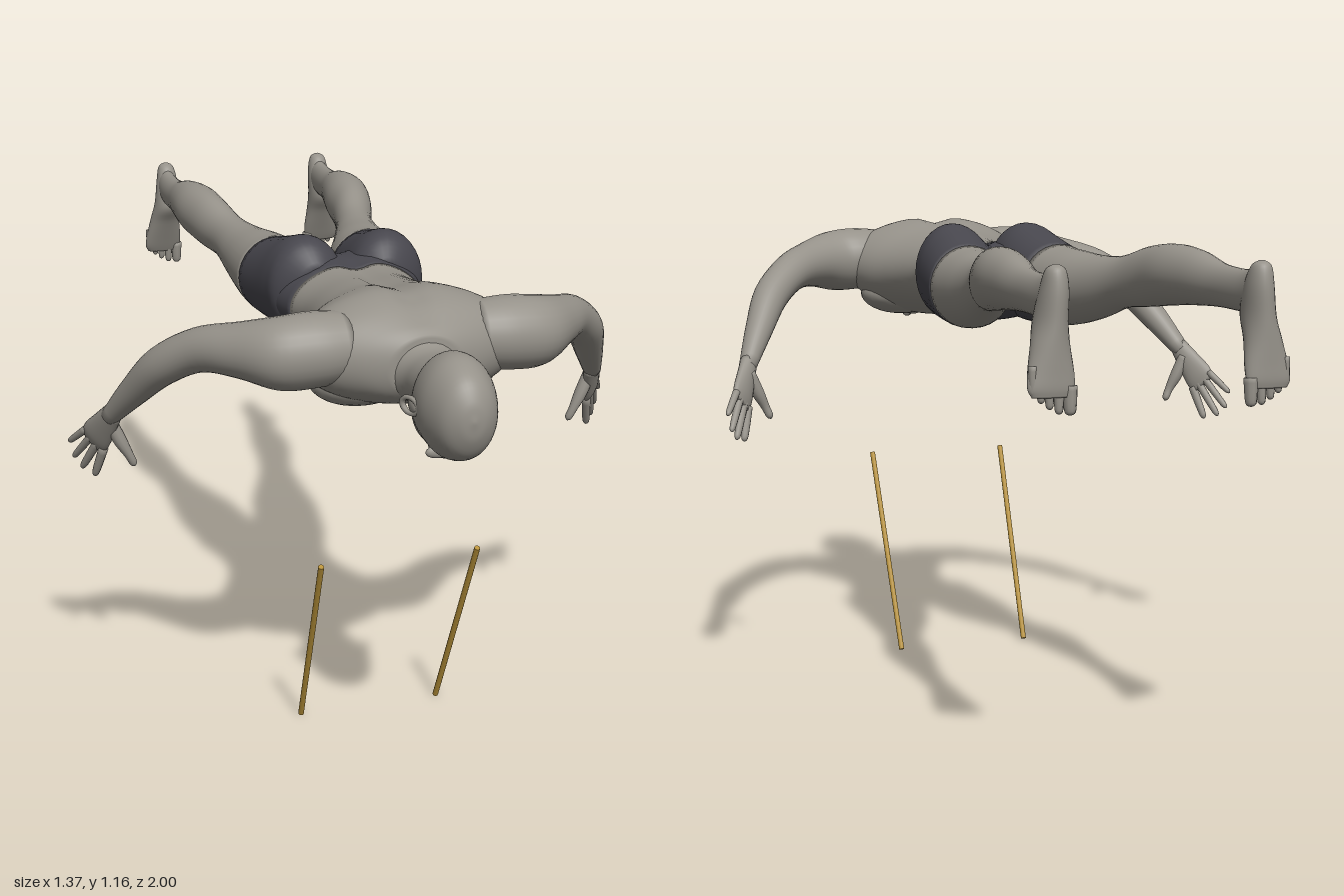
import * as THREE from 'three';

const V = (x, y, z) => new THREE.Vector3(x, y, z);
const mat = (name, color) => {
  const m = new THREE.MeshStandardMaterial({ color });
  m.name = name;
  return m;
};

export function createModel() {
  const group = new THREE.Group();
  const skin = mat('skin', 0x96928a);
  const cloth = mat('shorts', 0x48474e);
  const wood = mat('rod', 0xb8923a);

  const add = (name, geo, material, parent = group) => {
    const m = new THREE.Mesh(geo, material);
    m.name = name;
    parent.add(m);
    return m;
  };

  // Smooth closed skin through sections {p, a, b}: centre and two half axes.
  // Only the sections from..to are built, so one form can carry two colours.
  function loft(secs, { from = 0, to = secs.length - 1, sides = 28, steps = 5, rule } = {}) {
    const curve = (k) => new THREE.CatmullRomCurve3(secs.map((s) => s[k]), false, 'catmullrom', 0.5);
    const P = curve('p'), A = curve('a'), B = curve('b');
    const n = (to - from) * steps, pos = [], idx = [];
    for (let i = -1; i <= n + 1; i++) {
      const u = (from + Math.min(Math.max(i, 0), n) / steps) / (secs.length - 1);
      const p = P.getPoint(u), a = A.getPoint(u), b = B.getPoint(u);
      const k = i < 0 || i > n ? 0 : 1;
      for (let j = 0; j < sides; j++) {
        const t = (j / sides) * Math.PI * 2;
        const q = p.clone().addScaledVector(a, k * Math.cos(t)).addScaledVector(b, k * Math.sin(t));
        if (rule && k) rule(q);
        pos.push(q.x, q.y, q.z);
      }
    }
    const mid = secs[secs.length >> 1];
    const dir = secs[secs.length - 1].p.clone().sub(secs[0].p);
    const flip = mid.a.clone().cross(mid.b).dot(dir) < 0;
    for (let i = 0; i < n + 2; i++) {
      for (let j = 0; j < sides; j++) {
        const k = (j + 1) % sides;
        const a = i * sides + j, b = i * sides + k, c = b + sides, d = a + sides;
        if (flip) idx.push(a, c, b, a, d, c);
        else idx.push(a, b, c, a, c, d);
      }
    }
    const g = new THREE.BufferGeometry();
    g.setAttribute('position', new THREE.Float32BufferAttribute(pos, 3));
    g.setIndex(idx);
    g.computeVertexNormals();
    return g;
  }

  // Sections across z from rows [z, centre x, half width, top, bottom]
  const alongZ = (rows, s = 1) => rows.map(([z, x, w, top, bot]) => ({
    p: V(s * x, (top + bot) / 2, z), a: V(w, 0, 0), b: V(0, (top - bot) / 2, 0),
  }));

  // Round limb through points [x, y, z, radius]
  function limb(pts, s = 1, opts = {}) {
    const c = pts.map(([x, y, z]) => V(s * x, y, z));
    return loft(c.map((p, i) => {
      const t = c[Math.min(i + 1, c.length - 1)].clone().sub(c[Math.max(i - 1, 0)]).normalize();
      const a = V(0.31, 0.2, 0.93 * s).cross(t).normalize();
      const b = t.clone().cross(a);
      return { p, a: a.multiplyScalar(pts[i][3]), b: b.multiplyScalar(pts[i][3]) };
    }), opts);
  }

  // Finger or toe: a short limb with a rounded tip
  const digit = (from, to, r, s) => {
    const at = (t, k) => [0, 1, 2].map((i) => from[i] + (to[i] - from[i]) * t).concat(r * k);
    return limb([at(0, 1.1), at(0.5, 1), at(0.85, 0.85), at(0.96, 0.55), at(1, 0.1)], s, { sides: 10, steps: 3 });
  };

  const ball = (name, p, r, parent = group) => {
    const m = add(name, new THREE.SphereGeometry(1, 24, 16), skin, parent);
    m.position.set(...p);
    m.scale.set(...r);
    return m;
  };

  // Torso with a shallow groove down the spine
  const trunk = alongZ([
    [0.71, 0, 0.075, 1.09, 0.955], [0.675, 0, 0.15, 1.115, 0.935], [0.62, 0, 0.235, 1.145, 0.915],
    [0.56, 0, 0.25, 1.16, 0.9], [0.5, 0, 0.228, 1.155, 0.895], [0.42, 0, 0.187, 1.137, 0.903],
    [0.34, 0, 0.16, 1.125, 0.91], [0.26, 0, 0.15, 1.115, 0.915], [0.185, 0, 0.162, 1.113, 0.91],
    [0.1, 0, 0.184, 1.12, 0.91], [0.03, 0, 0.18, 1.11, 0.92], [-0.02, 0, 0.1, 1.07, 0.95],
  ]);
  const spine = (q) => {
    if (q.y > 1.05) q.y -= 0.018 * Math.exp(-((q.x / 0.035) ** 2)) * Math.min(1, Math.max(0, (0.69 - q.z) / 0.1));
  };
  add('torso', loft(trunk, { to: 8, sides: 64, rule: spine }), skin);
  add('shortsHips', loft(trunk, { from: 8, sides: 64, rule: spine }), cloth);

  // Neck and head, face down with the crown forward
  add('neck', loft(alongZ([
    [0.85, 0, 0.055, 1.09, 0.97], [0.78, 0, 0.06, 1.075, 0.955], [0.73, 0, 0.064, 1.073, 0.945],
    [0.69, 0, 0.085, 1.092, 0.94], [0.64, 0, 0.12, 1.125, 0.94],
  ])), skin);
  const head = new THREE.Group();
  head.name = 'head';
  group.add(head);
  add('skull', loft(alongZ([
    [1, 0, 0.004, 1.01, 1], [0.992, 0, 0.032, 1.048, 0.958], [0.965, 0, 0.061, 1.087, 0.916],
    [0.91, 0, 0.08, 1.112, 0.892], [0.86, 0, 0.081, 1.111, 0.892], [0.82, 0, 0.073, 1.093, 0.89],
    [0.785, 0, 0.06, 1.05, 0.882], [0.757, 0, 0.042, 0.98, 0.885], [0.742, 0, 0.018, 0.945, 0.905],
  ]), { sides: 40 }), skin, head);
  add('nose', limb([[0, 0.9, 0.875, 0.008], [0, 0.888, 0.85, 0.012], [0, 0.88, 0.83, 0.016], [0, 0.893, 0.818, 0.008]],
    1, { sides: 14 }), skin, head);
  ball('upperLip', [0, 0.886, 0.803], [0.024, 0.011, 0.007], head);
  ball('lowerLip', [0, 0.885, 0.791], [0.021, 0.011, 0.007], head);
  ball('chin', [0, 0.893, 0.765], [0.024, 0.018, 0.016], head);

  for (const s of [1, -1]) {
    const side = s > 0 ? 'left' : 'right';

    // Face details
    ball(side + 'Brow', [s * 0.033, 0.904, 0.882], [0.028, 0.014, 0.01], head);
    ball(side + 'Eye', [s * 0.033, 0.91, 0.864], [0.016, 0.012, 0.009], head);
    const ear = add(side + 'Ear', new THREE.TorusGeometry(0.02, 0.006, 8, 20), skin, head);
    ear.position.set(s * 0.086, 1.0, 0.855);
    ear.rotation.y = s * 1.2;
    ear.scale.set(1.3, 0.85, 1);
    ball(side + 'EarBowl', [s * 0.08, 1.0, 0.855], [0.008, 0.017, 0.025], head);

    // Chest muscle
    ball(side + 'Chest', [s * 0.1, 0.955, 0.54], [0.115, 0.058, 0.085]);

    // Arm from shoulder to wrist
    add(side + 'Arm', limb([
      [0.14, 1.05, 0.59, 0.075], [0.22, 1.047, 0.59, 0.083], [0.29, 1.042, 0.58, 0.08],
      [0.36, 1.038, 0.525, 0.062], [0.435, 1.02, 0.445, 0.05], [0.505, 0.965, 0.37, 0.045],
      [0.555, 0.885, 0.292, 0.035], [0.602, 0.8, 0.215, 0.022],
    ], s), skin);

    // Hand: palm, four spread fingers and a thumb
    const hand = new THREE.Group();
    hand.name = side + 'Hand';
    group.add(hand);
    const across = V(s * 0.55, 0.69, -0.46).normalize();
    const thick = across.clone().cross(V(s * 0.3, -0.75, -0.65)).normalize();
    const palm = [[0.596, 0.812, 0.225, 0.024, 0.02], [0.612, 0.772, 0.192, 0.033, 0.018],
      [0.627, 0.735, 0.16, 0.04, 0.015], [0.635, 0.714, 0.142, 0.034, 0.008]];
    add('palm', loft(palm.map(([x, y, z, w, h]) => ({
      p: V(s * x, y, z), a: across.clone().multiplyScalar(w), b: thick.clone().multiplyScalar(h),
    })), { sides: 20 }), skin, hand);
    [[0.632, 0.622, 0.13], [0.657, 0.632, 0.098], [0.673, 0.655, 0.08], [0.682, 0.696, 0.08]].forEach((tip, i) => {
      const k = (i - 1.5) / 1.5;
      add('finger', digit([0.63 + 0.017 * k, 0.725 + 0.021 * k, 0.152 - 0.014 * k], tip, 0.0105 - 0.0006 * i, s), skin, hand);
    });
    add('thumb', limb([[0.602, 0.785, 0.2, 0.016], [0.58, 0.735, 0.203, 0.016], [0.561, 0.698, 0.206, 0.011],
      [0.55, 0.674, 0.204, 0.009], [0.547, 0.666, 0.203, 0.002]], s, { sides: 12 }), skin, hand);

    // Leg, covered by the shorts down to mid thigh
    const leg = alongZ([
      [0.165, 0.085, 0.045, 1.1, 0.97], [0.12, 0.096, 0.088, 1.148, 0.922], [0.07, 0.1, 0.096, 1.157, 0.913],
      [0, 0.105, 0.1, 1.138, 0.91], [-0.105, 0.118, 0.099, 1.11, 0.91], [-0.2, 0.13, 0.087, 1.1, 0.92],
      [-0.3, 0.149, 0.067, 1.092, 0.942], [-0.4, 0.17, 0.051, 1.096, 0.973], [-0.5, 0.194, 0.055, 1.122, 0.983],
      [-0.6, 0.208, 0.061, 1.13, 0.993], [-0.7, 0.216, 0.05, 1.12, 1], [-0.8, 0.222, 0.035, 1.097, 1.003],
      [-0.9, 0.226, 0.029, 1.09, 1], [-0.965, 0.226, 0.026, 1.098, 1],
    ], s);
    add(side + 'ShortsLeg', loft(leg, { to: 4, sides: 32 }), cloth);
    add(side + 'Leg', loft(leg, { from: 4, sides: 32 }), skin);

    // Foot pointing down, sole to the rear: rows [y, x, half width, rear z, front z]
    const foot = [[1.112, 0.226, 0.006, -0.975, -0.965], [1.1, 0.226, 0.021, -0.992, -0.945],
      [1.06, 0.226, 0.029, -1, -0.92], [1, 0.23, 0.034, -1, -0.9], [0.95, 0.235, 0.041, -1, -0.927],
      [0.9, 0.238, 0.049, -1, -0.951], [0.868, 0.24, 0.05, -1, -0.966], [0.85, 0.24, 0.042, -0.997, -0.975]];
    add(side + 'Foot', loft(foot.map(([y, x, w, r, f]) => ({
      p: V(s * x, y, (r + f) / 2), a: V(w, 0, 0), b: V(0, 0, (f - r) / 2),
    }))), skin);
    [[0.2, 0.812, 0.014], [0.224, 0.815, 0.01], [0.244, 0.825, 0.0095], [0.262, 0.838, 0.009], [0.279, 0.853, 0.0085]]
      .forEach(([x, y, r]) => add(side + 'Toe', digit([x, y + 0.06, -0.983], [x, y, -0.986], r, s), skin));

    // Slanting rod below the chest
    const top = V(s * 0.188, 0.51, 0.543), base = V(s * 0.176, 0.003, 0.31);
    const axis = top.clone().sub(base);
    const rod = add(side + 'Rod', new THREE.CylinderGeometry(0.007, 0.007, axis.length(), 12), wood);
    rod.position.copy(top).add(base).multiplyScalar(0.5);
    rod.quaternion.setFromUnitVectors(V(0, 1, 0), axis.normalize());
  }
  return group;
}
